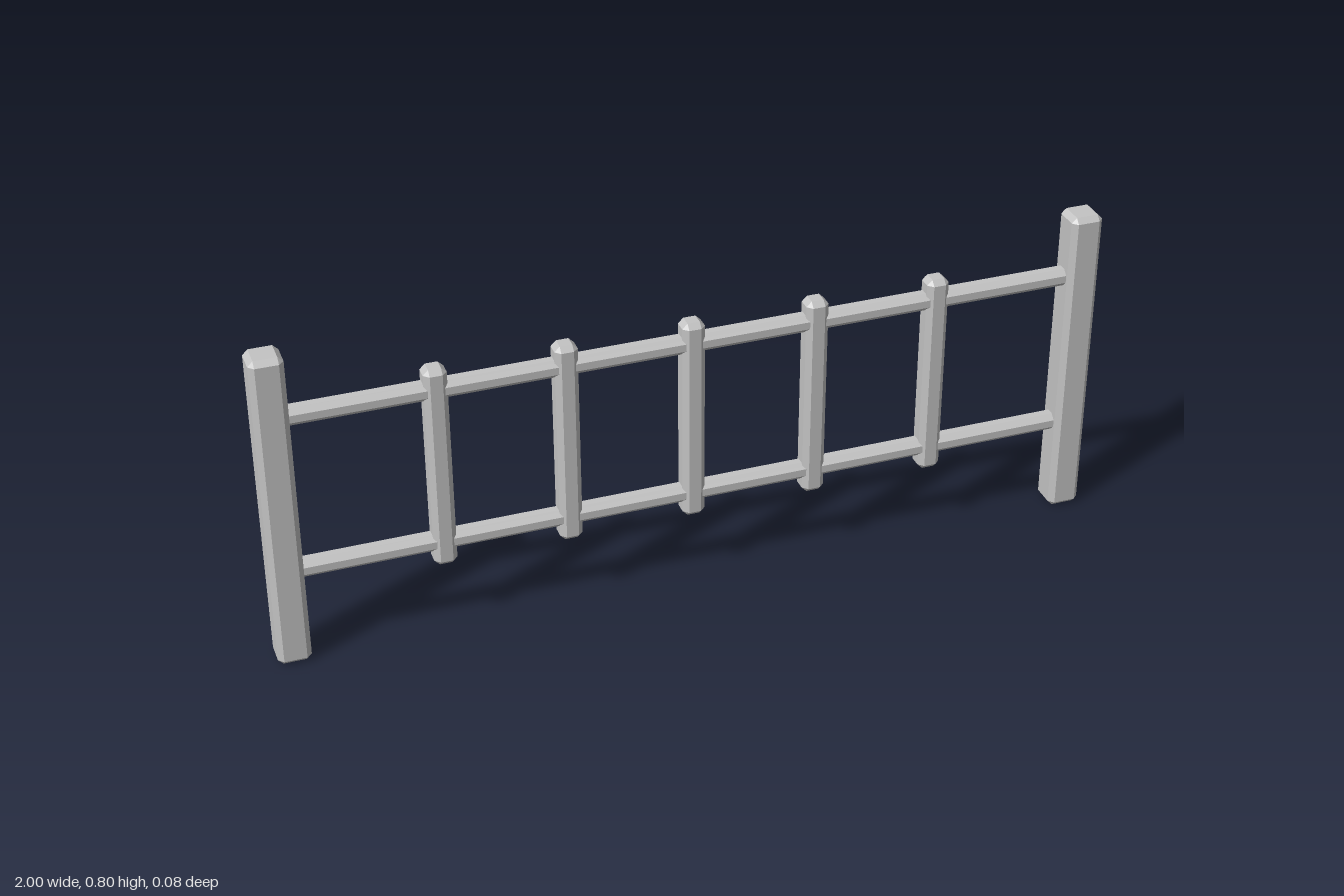
import * as THREE from 'three';
import { ConvexGeometry } from 'three/addons/geometries/ConvexGeometry.js';

// Box with every edge and corner chamfered by c
function chamferBox(w, h, d, c) {
  const [x, y, z] = [w / 2, h / 2, d / 2];
  const points = [];
  for (const sx of [-1, 1]) for (const sy of [-1, 1]) for (const sz of [-1, 1]) {
    points.push(
      new THREE.Vector3(sx * x, sy * (y - c), sz * (z - c)),
      new THREE.Vector3(sx * (x - c), sy * y, sz * (z - c)),
      new THREE.Vector3(sx * (x - c), sy * (y - c), sz * z)
    );
  }
  return new ConvexGeometry(points);
}

export function createModel() {
  const group = new THREE.Group();
  const grey = new THREE.MeshStandardMaterial({ color: 0xc4c4c4 });
  grey.name = 'light grey';

  const add = (name, geometry, x, y) => {
    const mesh = new THREE.Mesh(geometry, grey);
    mesh.name = name;
    mesh.position.set(x, y, 0);
    group.add(mesh);
  };

  // End posts
  const post = chamferBox(0.078, 0.795, 0.078, 0.0125);
  add('leftPost', post, 0.961, 0.3975);
  add('rightPost', post, -0.961, 0.3975);

  // Upright balusters
  const baluster = chamferBox(0.054, 0.514, 0.054, 0.0125);
  for (let i = -2; i <= 2; i++) add('baluster', baluster, i * 0.298, 0.434);

  // Octagonal rails with flat faces to the front and top
  const radius = 0.022 / Math.cos(Math.PI / 8);
  const rail = new THREE.CylinderGeometry(radius, radius, 1.86, 8)
    .rotateY(Math.PI / 8)
    .rotateZ(Math.PI / 2)
    .toNonIndexed();
  rail.computeVertexNormals();
  add('lowerRail', rail, 0, 0.235);
  add('upperRail', rail, 0, 0.633);

  return group;
}
